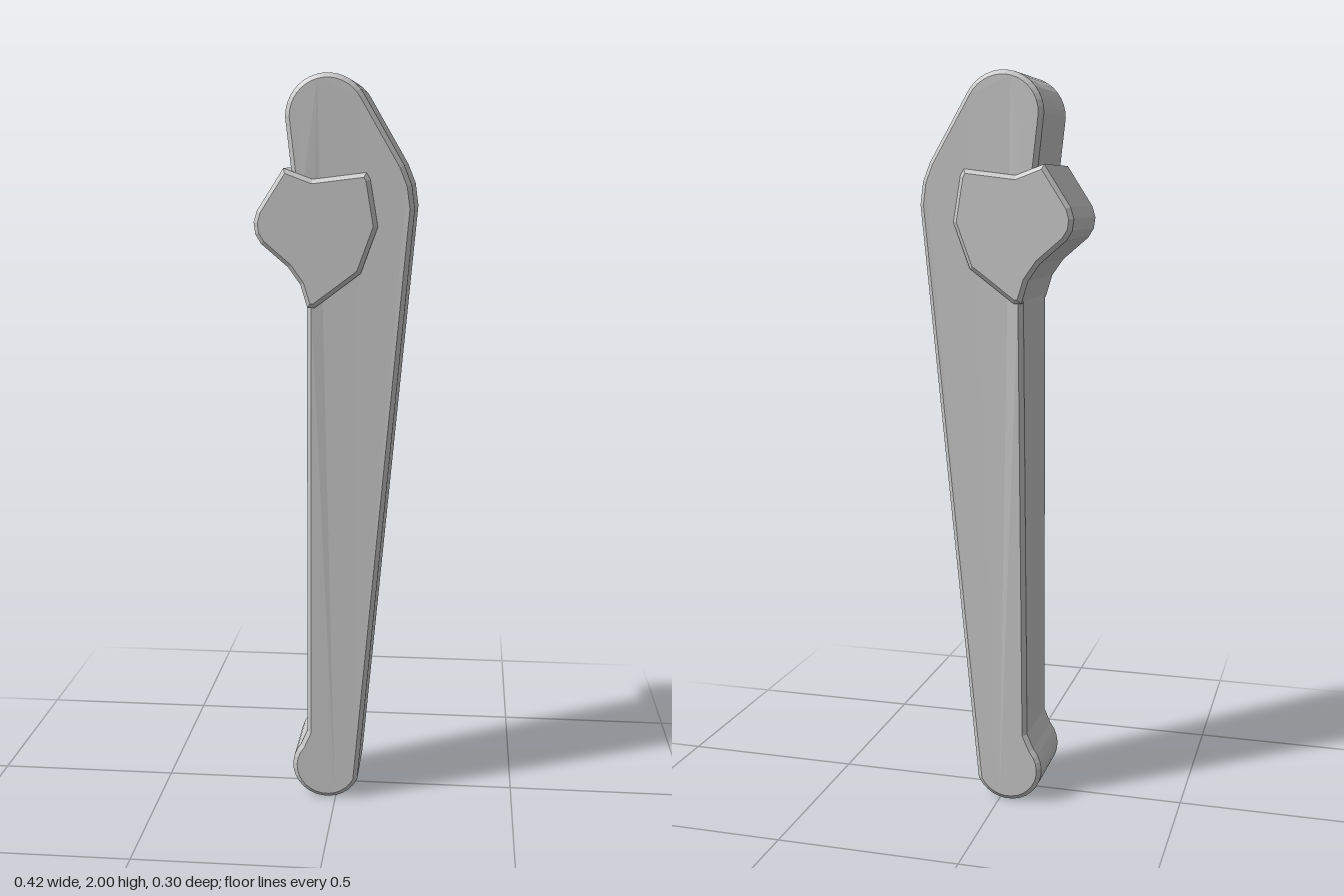
import * as THREE from 'three';

const material = new THREE.MeshStandardMaterial({ color: 0xcccccc, flatShading: true });

// Chamfered plate centred on z = 0, outer outline equal to the shape
function plate(name, shape, halfDepth, bevel) {
  const geometry = new THREE.ExtrudeGeometry(shape, {
    depth: 2 * (halfDepth - bevel), curveSegments: 8,
    bevelEnabled: true, bevelSegments: 1,
    bevelThickness: bevel, bevelSize: bevel, bevelOffset: -bevel,
  });
  geometry.translate(0, 0, bevel - halfDepth);
  const mesh = new THREE.Mesh(geometry, material);
  mesh.name = name;
  return mesh;
}

export function createModel() {
  const group = new THREE.Group();
  group.name = 'leverHandle';
  const rad = THREE.MathUtils.degToRad;

  // Handle: rounded head, long tapering grip, rounded foot with a small heel
  const outline = new THREE.Shape();
  outline.moveTo(-0.13, 1.76);
  outline.absarc(-0.017, 1.891, 0.109, rad(180), rad(30), true);
  outline.lineTo(0.18, 1.77);
  outline.lineTo(0.2, 1.72);
  outline.lineTo(0.208, 1.66);
  outline.absarc(-0.025, 0.096, 0.096, rad(-25), rad(-220), true);
  outline.lineTo(-0.08, 0.2);
  outline.lineTo(-0.072, 1.41);
  outline.lineTo(-0.1, 1.66);
  outline.closePath();
  const handle = plate('handle', outline, 0.137, 0.012);

  // Thin the handle towards the foot
  const pos = handle.geometry.attributes.position;
  for (let i = 0; i < pos.count; i++) {
    const t = Math.min(pos.getY(i) / 1.66, 1);
    pos.setZ(i, pos.getZ(i) * THREE.MathUtils.lerp(0.79, 1, t));
  }
  handle.geometry.computeVertexNormals();
  group.add(handle);

  // Hub: angular boss with a rounded nose, standing proud of both faces
  const hub = new THREE.Shape([
    [-0.13, 1.763], [-0.055, 1.735], [0.084, 1.752], [0.094, 1.735], [0.114, 1.615],
    [0.07, 1.495], [-0.05, 1.405], [-0.07, 1.405], [-0.088, 1.465], [-0.12, 1.51],
    [-0.19, 1.57], [-0.205, 1.595], [-0.209, 1.625], [-0.2, 1.655],
  ].map(([x, y]) => new THREE.Vector2(x, y)));
  group.add(plate('hub', hub, 0.148, 0.011));

  return group;
}
